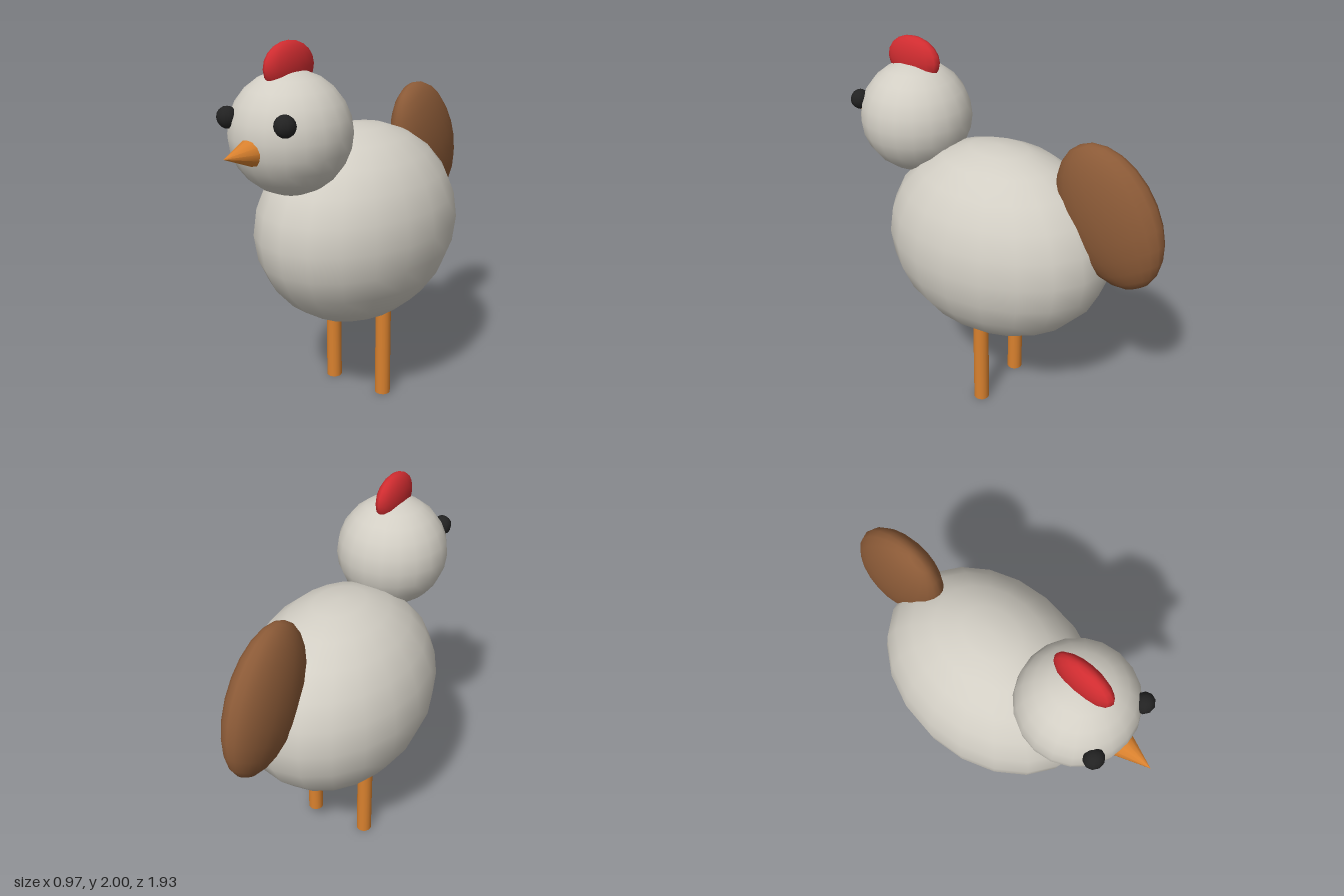
import * as THREE from 'three';

const mat = (name, color) => {
  const m = new THREE.MeshStandardMaterial({ color });
  m.name = name;
  return m;
};

export function createModel() {
  const group = new THREE.Group();
  const plumage = mat('pale grey plumage', 0xd2cec4);
  const brown = mat('brown tail', 0x8b5a37);
  const red = mat('red comb', 0xd02c30);
  const orange = mat('orange', 0xd9812e);
  const black = mat('black eyes', 0x222222);

  const add = (name, geometry, material, x, y, z) => {
    const mesh = new THREE.Mesh(geometry, material);
    mesh.name = name;
    mesh.position.set(x, y, z);
    group.add(mesh);
    return mesh;
  };
  const ellipsoid = (rx, ry, rz, w = 20, h = 12) =>
    new THREE.SphereGeometry(1, w, h).scale(rx, ry, rz);

  // Body and head
  add('body', ellipsoid(0.484, 0.54, 0.647), plumage, 0, 0.99, -0.02);
  add('head', ellipsoid(0.3, 0.3, 0.3), plumage, 0, 1.57, 0.52);

  // Comb along the crown
  add('comb', ellipsoid(0.061, 0.12, 0.166, 16, 10), red, 0, 1.88, 0.52);

  // Flattened tail, leaning towards the body
  add('tail', ellipsoid(0.127, 0.386, 0.266), brown, 0, 1.31, -0.67).rotation.x = 0.49;

  // Beak, its base sunk into the head
  const beak = new THREE.ConeGeometry(0.073, 0.185, 12).rotateX(Math.PI / 2);
  add('beak', beak, orange, 0, 1.527, 0.875);

  // Mirrored eyes and legs
  for (const [side, s] of [['left', 1], ['right', -1]]) {
    add(side + 'Eye', ellipsoid(0.053, 0.053, 0.05, 10, 8), black, s * 0.175, 1.66, 0.758);
    const leg = new THREE.CylinderGeometry(0.043, 0.043, 0.6, 16);
    add(side + 'Leg', leg, orange, s * 0.172, 0.3, -0.02);
  }
  return group;
}
